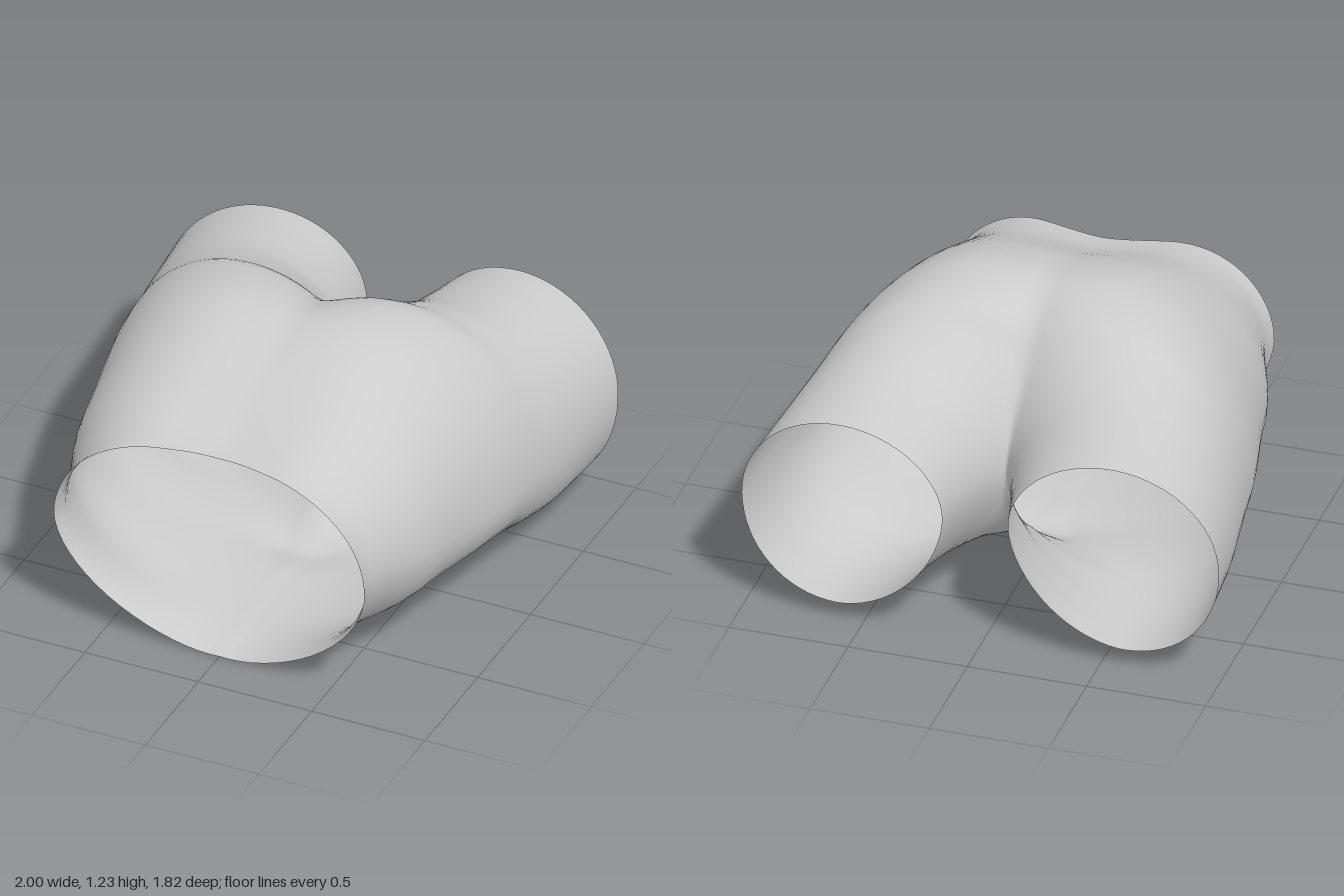
import * as THREE from 'three';
import { mergeGeometries, mergeVertices } from 'three/addons/utils/BufferGeometryUtils.js';

const { smoothstep } = THREE.MathUtils;

// Cross-sections of one half, waist to leg end:
// z, outer x, outer y, top x, top y, inner x, inner y, bottom x, bottom y
// (a negative inner x means the section is cut open at the centre seam)
const SECTIONS = [
  [0.90, 0.685, 0.55, 0.25, 0.965, -1.2, 0.55, 0.03, 0.0],
  [0.84, 0.67, 0.55, 0.25, 0.975, -1.2, 0.55, 0.03, 0.01],
  [0.70, 0.71, 0.55, 0.25, 1.01, -1.1, 0.55, 0.03, 0.03],
  [0.50, 0.785, 0.53, 0.25, 1.09, -1.0, 0.55, 0.03, 0.045],
  [0.30, 0.825, 0.52, 0.23, 1.18, -0.9, 0.55, 0.03, 0.055],
  [0.10, 0.87, 0.5, 0.24, 1.23, -0.72, 0.55, 0.08, 0.06],
  [-0.05, 0.9, 0.5, 0.27, 1.225, -0.52, 0.56, 0.2, 0.075],
  [-0.20, 0.92, 0.5, 0.32, 1.19, -0.3, 0.58, 0.37, 0.085],
  [-0.30, 0.935, 0.5, 0.38, 1.13, -0.17, 0.6, 0.48, 0.082],
  [-0.50, 0.965, 0.5, 0.48, 1.045, 0, 0.6, 0.57, 0.073],
  [-0.70, 0.985, 0.52, 0.53, 0.995, 0.09, 0.61, 0.6, 0.075],
  [-0.86, 1.0, 0.53, 0.55, 0.97, 0.135, 0.61, 0.61, 0.08],
];
const CROTCH_Z = -0.5;

// Smooth (cubic) interpolation of the section values at a given z
function sectionAt(z) {
  const S = SECTIONS, last = S.length - 1;
  let i = 0;
  while (i < last - 1 && z < S[i + 1][0]) i++;
  const h = S[i + 1][0] - S[i][0], t = (z - S[i][0]) / h;
  const slope = (k, c) => {
    const a = S[Math.max(k - 1, 0)], b = S[Math.min(k + 1, last)];
    return (b[c] - a[c]) / (b[0] - a[0]);
  };
  return S[i].map((p, c) => {
    const q = S[i + 1][c];
    return p * (1 + 2 * t) * (1 - t) ** 2 + q * t * t * (3 - 2 * t)
      + h * slope(i, c) * t * (1 - t) ** 2 - h * slope(i + 1, c) * t * t * (1 - t);
  });
}

// Points from the top seam over the outside to the bottom seam;
// power 1 gives an elliptical corner, more is leaner, less is fuller
function ring(z, inner, outer) {
  const [, xo, yo, xt, yt, xiRaw, yi, xb, yb] = sectionAt(z);
  const xi = z >= CROTCH_Z ? Math.min(xiRaw, 0) : xiRaw;
  const H = Math.PI / 2, LEAN = 1.12, corner = 0.96 + 0.18 * smoothstep(z, 0.3, 0.9);
  const cut = (x, p) => Math.asin(Math.min(1, x / (x - xi)) ** (1 / p));
  const pts = [];
  const arc = (x0, y0, x1, y1, a0, a1, n, p) => {
    for (let k = 0; k < n; k++) {
      const a = a0 + (a1 - a0) * k / n;
      const s = Math.sin(a) ** p, c = Math.max(0, Math.cos(a)) ** p;
      pts.push([x0 + (x1 - x0) * s, y1 + (y0 - y1) * c]);
    }
  };
  const end = cut(xb, LEAN);
  arc(xt, yt, xi, yi, cut(xt, 1), 0, inner, 1);
  arc(xt, yt, xo, yo, 0, H, outer, 1);
  arc(xb, yb, xo, yo, H, 0, outer, corner);
  arc(xb, yb, xi, yi, 0, end, inner, LEAN);
  arc(xb, yb, xi, yi, end, end, 1, LEAN);
  return pts;
}

// Rounds the crease where the two halves meet, least at mid height
function fillet(x, y) {
  const r = 0.07 - 0.055 * Math.exp(-(((y - 0.65) / 0.28) ** 2));
  return Math.sqrt(x * x + r * x * Math.exp(-x / 0.14));
}

// Small sag under the crotch
const sag = (x, y, z) => 0.045 * Math.exp(-((x / 0.17) ** 2) - ((z - 0.01) / 0.1) ** 2)
  * (1 - smoothstep(y, 0.15, 0.4));

// Slant and scoop of the waist opening and of the leg ends
function openingOffset(x, y, z) {
  const waist = smoothstep(z, 0.4, 0.9);
  const leg = 1 - smoothstep(z, -0.86, CROTCH_Z);
  const scoop = -0.09 * Math.exp(-((x / 0.32) ** 2)) * smoothstep(y, 0.55, 0.95);
  const low = -0.1 * Math.max(0, (0.6 - y) / 0.6) ** 1.3;
  const slant = -0.045 * (y - 0.52) / 0.44 + 0.03 * (x - 0.57) / 0.43;
  return waist * (scoop + low) + leg * slant;
}

function halfGeometry(side) {
  const rows = [];
  // Rows crowd together towards the crotch
  for (let i = 0; i < 50; i++) rows.push(0.9 - 1.4 * Math.sin(i / 50 * Math.PI / 2));
  for (let i = 0; i <= 18; i++) rows.push(CROTCH_Z - 0.36 * (i / 18) ** 1.4);

  const pos = [], index = [];
  rows.forEach((z, r) => {
    const pts = ring(z, 16, 16), n = pts.length;
    pts.forEach(([px, y], j) => {
      const onSeam = z >= CROTCH_Z && (j === 0 || j === n - 1);
      const x = onSeam ? 0 : fillet(Math.max(0, px), y);
      pos.push(side * x, y - sag(x, y, z), z + openingOffset(x, y, z));
      if (r === 0 || j === 0) return;
      const d = r * n + j, c = d - 1, b = d - n, a = b - 1;
      if (side > 0) index.push(a, b, c, b, d, c);
      else index.push(a, c, b, b, c, d);
    });
  });
  const g = new THREE.BufferGeometry();
  g.setAttribute('position', new THREE.Float32BufferAttribute(pos, 3));
  g.setIndex(index);
  return g;
}

export function createModel() {
  const group = new THREE.Group();
  group.name = 'shorts';
  // Both halves are welded along the centre seam
  const geometry = mergeVertices(mergeGeometries([halfGeometry(1), halfGeometry(-1)]), 1e-4);
  geometry.computeVertexNormals();
  const fabric = new THREE.Mesh(geometry,
    new THREE.MeshStandardMaterial({ color: 0xcccccc, side: THREE.DoubleSide }));
  fabric.name = 'waistAndLegs';
  group.add(fabric);
  return group;
}
